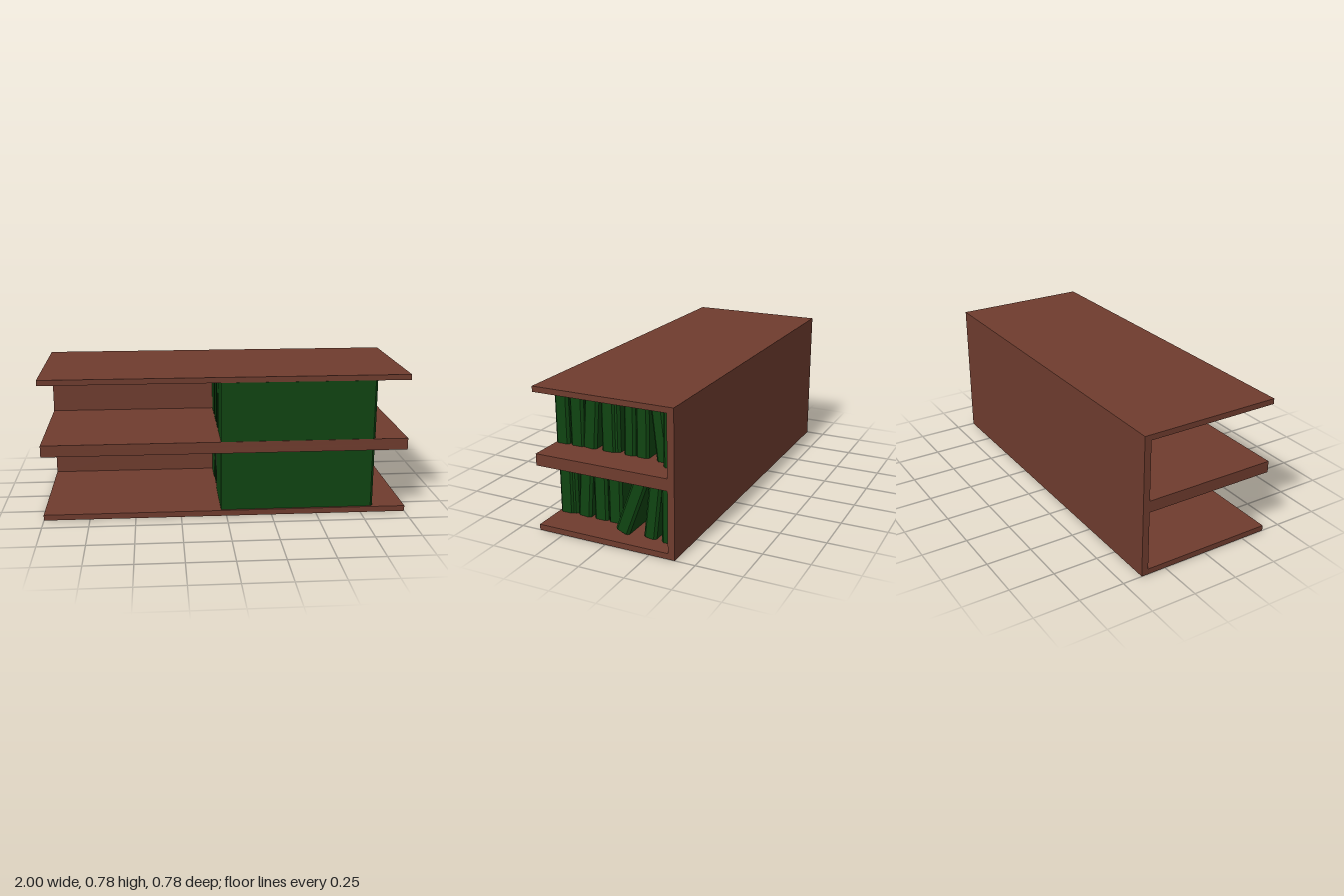
import * as THREE from 'three';

const wood = new THREE.MeshStandardMaterial({ color: 0x6f3c2e, flatShading: true });
const green = new THREE.MeshStandardMaterial({ color: 0x0f4411, flatShading: true });

const BOOK_START = -0.03;
const BOOK_HEIGHT = 0.327;

// Board spanning the full length, given its y and z ranges
function board(name, y0, y1, z0, z1) {
  const mesh = new THREE.Mesh(new THREE.BoxGeometry(2, y1 - y0, z1 - z0), wood);
  mesh.position.set(0, (y0 + y1) / 2, (z0 + z1) / 2);
  mesh.name = name;
  return mesh;
}

// Long book with a chamfered spine at its +x end, leaning about the x axis
function book(name, y, [z, width, end, leanDegrees]) {
  const h = width / 2, c = 0.013;
  const outline = new THREE.Shape([
    [BOOK_START, -h], [end - c, -h], [end, -h + c],
    [end, h - c], [end - c, h], [BOOK_START, h],
  ].map(([px, py]) => new THREE.Vector2(px, py)));
  const geometry = new THREE.ExtrudeGeometry(outline, { depth: BOOK_HEIGHT, bevelEnabled: false });
  geometry.rotateX(-Math.PI / 2).translate(0, -BOOK_HEIGHT / 2, 0);
  const mesh = new THREE.Mesh(geometry, green);
  mesh.position.set(0, y, z);
  mesh.rotation.x = THREE.MathUtils.degToRad(leanDegrees);
  mesh.name = name;
  return mesh;
}

export function createModel() {
  const model = new THREE.Group();
  model.name = 'bookshelf';

  // Case: back panel and shelf boards, open at the front and both ends
  model.add(
    board('backPanel', 0, 0.783, -0.391, -0.354),
    board('bottomShelf', 0, 0.031, -0.354, 0.391),
    board('middleShelfLower', 0.361, 0.393, -0.354, 0.391),
    board('middleShelfUpper', 0.393, 0.425, -0.354, 0.391),
    board('topShelf', 0.753, 0.783, -0.354, 0.391),
  );

  // Books: centre z, width, spine end x, lean in degrees
  const rows = {
    lowerBook: { y: 0.196, books: [
      [0.341, 0.082, 0.82, 0], [0.318, 0.082, 0.81, 0], [0.221, 0.08, 0.82, -4.3],
      [0.131, 0.082, 0.82, 0], [0.044, 0.082, 0.82, 0], [-0.106, 0.08, 0.915, -20.5],
      [-0.218, 0.072, 0.9, -6.5], [-0.311, 0.082, 0.91, 0],
    ] },
    upperBook: { y: 0.589, books: [
      [0.349, 0.082, 0.82, 0], [0.259, 0.082, 0.82, 0], [0.175, 0.082, 0.82, -4.4],
      [0.074, 0.082, 0.82, 0], [0.051, 0.082, 0.81, 0], [-0.05, 0.066, 0.82, -0.7],
      [-0.122, 0.074, 0.82, -0.4], [-0.222, 0.07, 0.83, 6.5 * -1 + 13],
      [-0.311, 0.082, 0.885, 0],
    ] },
  };
  // The second-to-last upper book leans with its top toward the front
  for (const [name, { y, books }] of Object.entries(rows)) {
    const row = new THREE.Group();
    row.name = name + 'Row';
    books.forEach((spec, i) => row.add(book(name + (i + 1), y, spec)));
    model.add(row);
  }
  return model;
}
